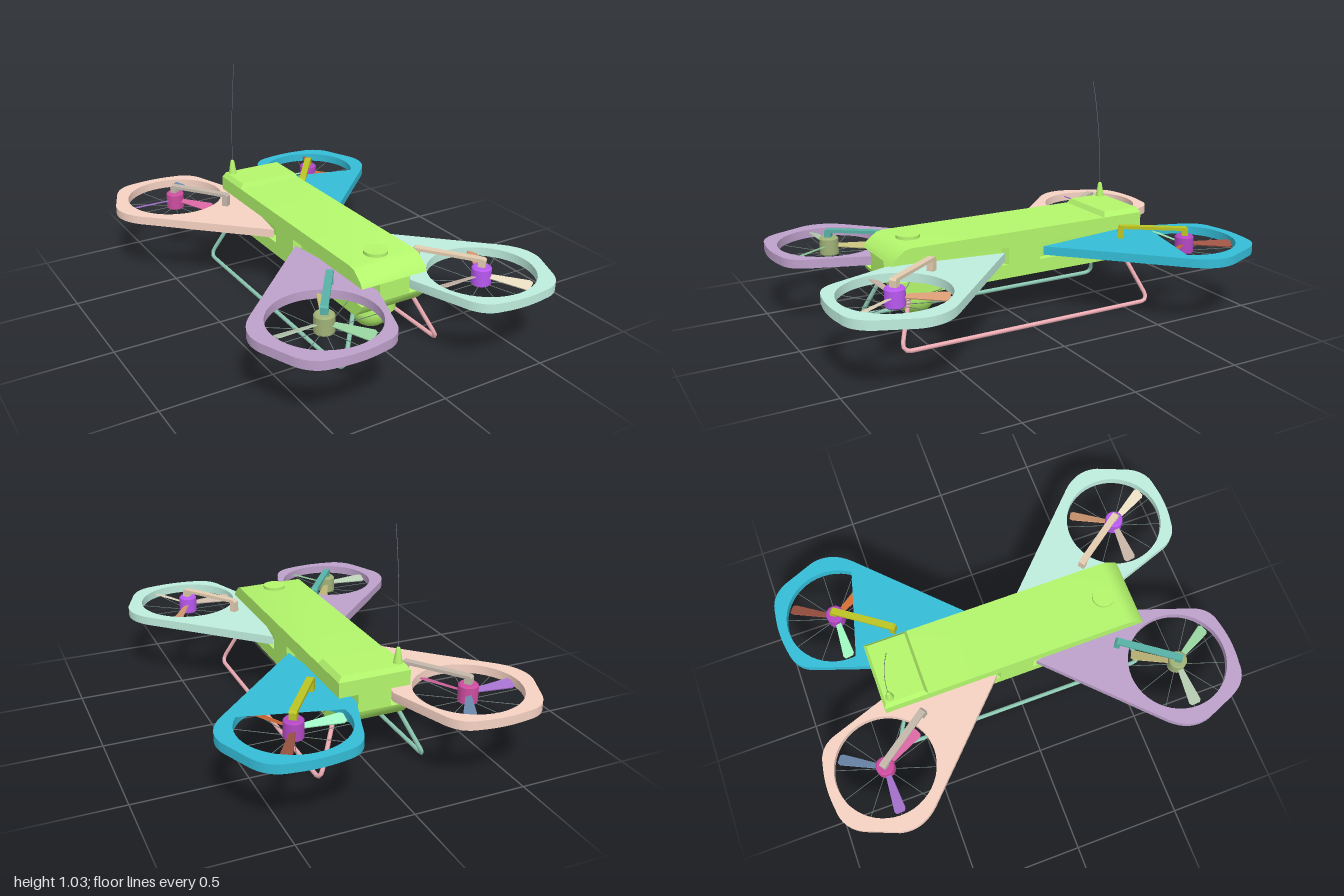
import * as THREE from 'three';
import { toCreasedNormals } from 'three/addons/utils/BufferGeometryUtils.js';

const GREEN = 0xb4f76c;

function part(parent, name, geometry, color, flat = false) {
  const material = new THREE.MeshStandardMaterial({ color, flatShading: flat });
  const mesh = new THREE.Mesh(geometry, material);
  mesh.name = name;
  parent.add(mesh);
  return mesh;
}

const toShape = (points) => new THREE.Shape(points.map(([x, y]) => new THREE.Vector2(x, y)));
const v = (x, y, z) => new THREE.Vector3(x, y, z);

// Side profile of [z, y] points, extruded across x
function acrossX(points, half) {
  const g = new THREE.ExtrudeGeometry(toShape(points), { depth: half * 2, bevelEnabled: false });
  return toCreasedNormals(g.translate(0, 0, -half).rotateY(-Math.PI / 2), 0.9);
}

// Plan shape in (x, z), extruded from y0 up to y1
function plan(shape, y0, y1) {
  const g = new THREE.ExtrudeGeometry(shape, { depth: y1 - y0, bevelEnabled: false, curveSegments: 24 });
  return toCreasedNormals(g.rotateX(Math.PI / 2).translate(0, y1, 0), 0.5);
}

function lathe(points, segments = 32) {
  return new THREE.LatheGeometry(points.map(([r, y]) => new THREE.Vector2(r, y)), segments);
}

// Tube along straight runs joined by small rounded corners
function bentTube(points, bend, radius, sides = 8) {
  const path = new THREE.CurvePath();
  let last = points[0];
  for (let i = 1; i < points.length - 1; i++) {
    const p = points[i];
    const a = p.clone().add(points[i - 1].clone().sub(p).setLength(bend));
    const b = p.clone().add(points[i + 1].clone().sub(p).setLength(bend));
    path.add(new THREE.LineCurve3(last, a));
    path.add(new THREE.QuadraticBezierCurve3(a, p, b));
    last = b;
  }
  path.add(new THREE.LineCurve3(last, points[points.length - 1]));
  return new THREE.TubeGeometry(path, 90, radius, sides);
}

function createBody() {
  const body = new THREE.Group();
  body.name = 'body';
  // Lower and upper shells with a waist between them that leaves slots for the arms
  part(body, 'lowerShell', acrossX([[-0.59, 0.22], [0.59, 0.22], [0.632, 0.262], [0.64, 0.283], [-0.64, 0.283], [-0.632, 0.262]], 0.162), GREEN);
  part(body, 'upperShell', acrossX([[-0.64, 0.363], [0.64, 0.363], [0.628, 0.385], [0.58, 0.423], [0.55, 0.43], [-0.64, 0.43]], 0.162), GREEN);
  const quarter = [[0.162, 0.08], [0.13, 0.1], [0.075, 0.64]];
  const waist = [
    ...quarter,
    ...quarter.map(([x, z]) => [-x, z]).reverse(),
    ...quarter.map(([x, z]) => [-x, -z]),
    ...quarter.map(([x, z]) => [x, -z]).reverse(),
  ];
  part(body, 'waist', plan(toShape(waist), 0.283, 0.363), GREEN, true);

  // Raised rear hatch with chamfered edges
  const hatch = new THREE.BoxGeometry(0.324, 0.024, 0.21);
  const pos = hatch.attributes.position;
  for (let i = 0; i < pos.count; i++) {
    if (pos.getY(i) > 0) pos.setXYZ(i, pos.getX(i) * 0.9, pos.getY(i), pos.getZ(i) * 0.87);
  }
  part(body, 'rearHatch', hatch, GREEN, true).position.set(0, 0.441, -0.535);

  // Round button on the nose
  part(body, 'topButton', lathe([[0.053, 0], [0.053, 0.014], [0.053, 0.014], [0, 0.014]]), GREEN)
    .position.set(0, 0.43, 0.495);

  // Camera under the nose
  part(body, 'cameraCollar', new THREE.CylinderGeometry(0.107, 0.107, 0.055, 40), GREEN).position.set(0, 0.1975, 0.47);
  part(body, 'cameraDome', new THREE.SphereGeometry(0.094, 40, 16, 0, Math.PI * 2, Math.PI / 2, Math.PI / 2), GREEN)
    .position.set(0, 0.172, 0.47);
  return body;
}

function createAntenna() {
  const antenna = new THREE.Group();
  antenna.name = 'antenna';
  part(antenna, 'antennaBase', lathe([[0.02, 0.45], [0.018, 0.465], [0.01, 0.515], [0.006, 0.522], [0, 0.522]], 16), GREEN);
  const curve = new THREE.QuadraticBezierCurve3(v(0, 0.52, 0), v(0, 0.8, 0.005), v(0, 1.03, 0.055));
  part(antenna, 'antennaWhip', new THREE.TubeGeometry(curve, 24, 0.0013, 6), 0x777788);
  antenna.position.set(-0.122, 0, -0.6);
  return antenna;
}

// Tapered guard arm with a round rotor opening
function armGeometry(sx, sz) {
  const s = new THREE.Shape();
  const q = (a, b, c, d) => s.quadraticCurveTo(a * sx, b * sz, c * sx, d * sz);
  const l = (a, b) => s.lineTo(a * sx, b * sz);
  s.moveTo(0.16 * sx, 0.1 * sz);
  l(0.63, 0.56);
  q(0.72, 0.65, 0.69, 0.755);
  l(0.635, 0.89);
  q(0.595, 0.985, 0.5, 0.99);
  q(0.39, 1.01, 0.28, 0.985);
  q(0.205, 0.975, 0.175, 0.9);
  l(0.085, 0.64);
  // The opening winds against the outline, so its wall faces inwards
  const hole = new THREE.Path();
  hole.absarc(0.39 * sx, 0.722 * sz, 0.233, 0, Math.PI * 2, sx * sz > 0);
  s.holes.push(hole);
  return plan(s, 0.3, 0.34);
}

function createRotor(name, sx, sz, colors) {
  const unit = new THREE.Group();
  unit.name = name;
  part(unit, 'guardArm', armGeometry(sx, sz), colors.arm);

  const rotor = new THREE.Group();
  rotor.name = 'rotor';
  rotor.position.set(0.39 * sx, 0, 0.722 * sz);
  unit.add(rotor);

  // Motor
  const rim = [[0, 0.278], [0.036, 0.278], [0.043, 0.285], [0.043, 0.356], [0.036, 0.363], [0, 0.363]];
  part(rotor, 'motor', lathe(rim.flatMap((p) => [p, p]).slice(1, -1), 24), colors.motor);

  // Three pitched blades, widening towards the tip
  colors.blades.forEach((color, i) => {
    const g = new THREE.ExtrudeGeometry(
      toShape([[0.03, -0.012], [0.205, -0.028], [0.218, -0.02], [0.218, 0.02], [0.205, 0.028], [0.03, 0.012]]),
      { depth: 0.005, bevelEnabled: false });
    g.rotateX(Math.PI / 2 + 0.35);
    const blade = part(rotor, 'blade', g, color, true);
    blade.position.y = 0.325;
    blade.rotation.y = Math.PI / 3 + (i * Math.PI * 2) / 3;
  });

  // Wire spokes that carry the motor under the ring
  for (let i = 0; i < 10; i++) {
    const path = [v(0.03, 0.287, 0), v(0.25, 0.287, 0), v(0.264, 0.305, 0)];
    const spoke = part(rotor, 'spoke', bentTube(path, 0.01, 0.0017, 5), 0x70807c);
    spoke.rotation.y = (i * Math.PI) / 5;
  }

  // Bridge from the motor to the arm
  const bridge = new THREE.Group();
  bridge.name = 'motorBridge';
  bridge.position.copy(rotor.position);
  bridge.rotation.y = Math.atan2(0.25 * sz, -0.18 * sx);
  unit.add(bridge);
  const outline = [[-0.016, 0.36], [0.014, 0.36], [0.014, 0.386], [0.278, 0.386], [0.278, 0.335], [0.306, 0.335], [0.306, 0.39], [0.296, 0.4], [-0.008, 0.4], [-0.016, 0.392]];
  const g = new THREE.ExtrudeGeometry(toShape(outline), { depth: 0.032, bevelEnabled: false }).translate(0, 0, -0.016);
  part(bridge, 'bridgeBar', g, colors.bridge, true);
  return unit;
}

export function createModel() {
  const model = new THREE.Group();
  model.name = 'quadcopter';
  model.add(createBody(), createAntenna());

  model.add(
    createRotor('frontLeftRotor', 1, 1, { arm: 0xbfeede, motor: 0xba59f2, bridge: 0xe4ceb2, blades: [0xd79b74, 0xcbb8aa, 0xe8dcc1] }),
    createRotor('frontRightRotor', -1, 1, { arm: 0xbea1cb, motor: 0xa0b277, bridge: 0x59b2a6, blades: [0xc5be7d, 0xb8ceb3, 0x95cf9d] }),
    createRotor('rearLeftRotor', 1, -1, { arm: 0x34bdd8, motor: 0xb448c5, bridge: 0xbcc524, blades: [0x9d5343, 0xa0fbc3, 0xce6c35] }),
    createRotor('rearRightRotor', -1, -1, { arm: 0xf7d3c4, motor: 0xce4da1, bridge: 0xc5b9ac, blades: [0x708eb3, 0xa471cb, 0xd765a1] }),
  );

  // Splayed landing skids
  for (const [side, name, color] of [[1, 'leftSkid', 0xf0aeb6], [-1, 'rightSkid', 0x8ecab4]]) {
    const points = [v(0.145, 0.23, 0.555), v(0.243, 0.01, 0.64), v(0.243, 0.01, -0.645), v(0.145, 0.23, -0.555)];
    points.forEach((p) => { p.x *= side; });
    part(model, name, bentTube(points, 0.05, 0.01), color);
  }
  return model;
}
